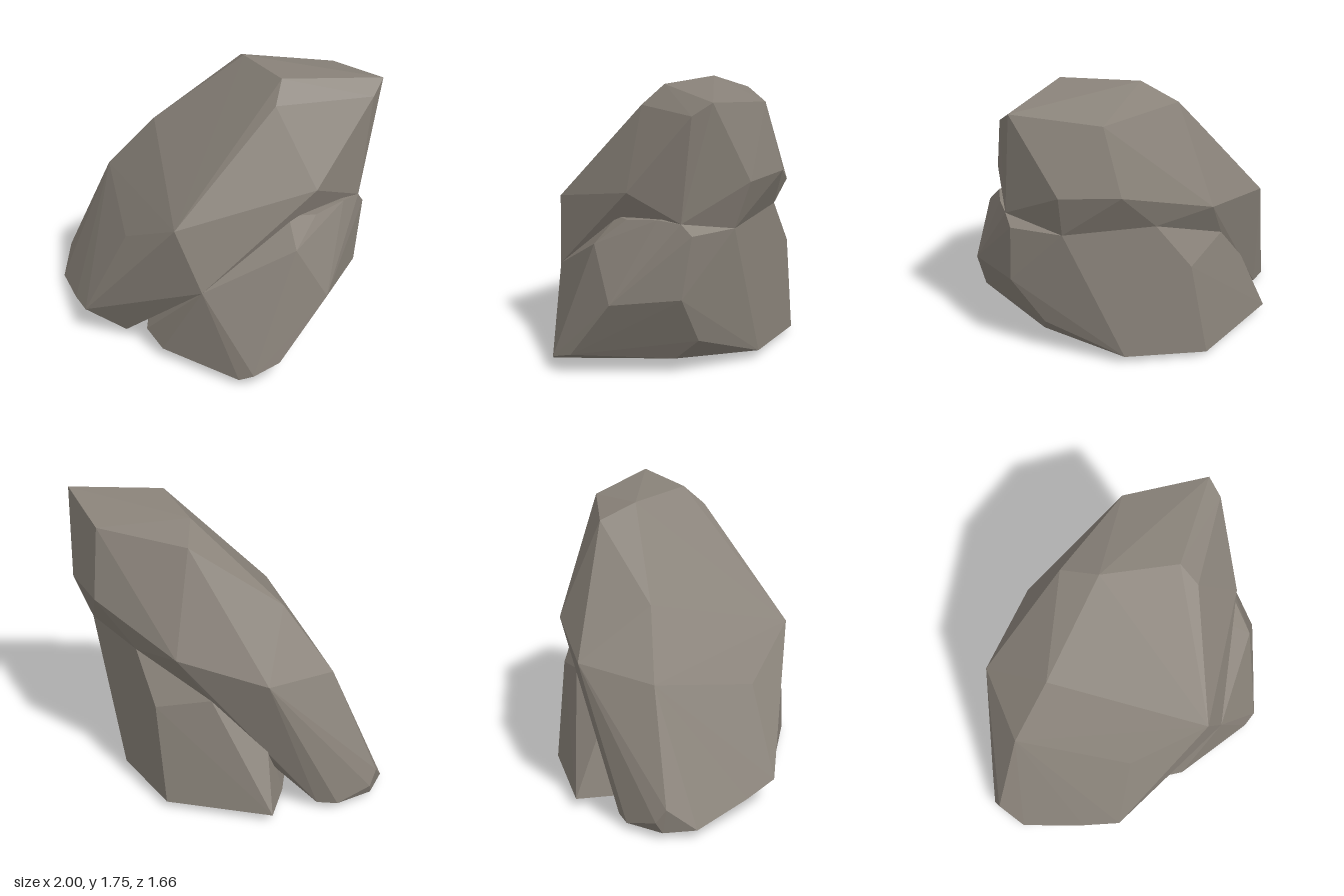
import * as THREE from 'three';
import { ConvexGeometry } from 'three/addons/geometries/ConvexGeometry.js';

// A faceted stone block: the convex hull of its corner points
function stone(name, corners, material) {
  const mesh = new THREE.Mesh(
    new ConvexGeometry(corners.map((c) => new THREE.Vector3(...c))),
    material
  );
  mesh.name = name;
  return mesh;
}

export function createModel() {
  const rock = new THREE.MeshStandardMaterial({ color: 0x8a837a, flatShading: true });
  rock.name = 'warm grey rock';

  // Tall slab leaning back and to the side
  const slab = [
    // crown
    [0.45, 1.75, -0.18], [0.8, 1.75, -0.67], [0.28, 1.67, -0.75],
    [-0.02, 1.73, -0.27], [-0.22, 1.64, -0.41], [0.53, 1.63, -0.07], [0.84, 1.67, -0.56],
    // back overhang
    [0.19, 1.25, -0.83], [0.55, 1.26, -0.79], [-0.4, 1.03, -0.61],
    [-0.04, 0.97, -0.68], [0.52, 0.96, -0.68], [0.83, 1.04, -0.49],
    // sloping front and outer edge
    [-0.48, 1.24, 0.1], [-0.8, 0.92, -0.22], [-0.76, 0.86, 0.28],
    [0.41, 0.96, 0.59], [-0.1, 0.7, 0.6],
    // ledge over the side notch
    [0.65, 1.18, 0.1], [0.84, 1.18, -0.14], [0.58, 0.69, 0.38], [0.56, 0.57, 0.5],
    // foot
    [-0.98, 0.2, 0.48], [-1, 0.11, 0.42], [-0.96, 0.04, 0.2], [-0.88, 0.04, 0.1],
    [-0.97, 0.04, 0.45], [-0.86, 0.05, 0.62], [-0.55, 0.08, 0.7], [-0.48, 0.12, 0.76],
    [-0.25, 0.17, 0.83], [-0.05, 0.05, 0.65], [-0.28, 0, 0.3],
    [-0.67, 0.5, -0.14], [-0.5, 0.75, -0.43],
  ];

  // Lower boulder wedged behind and beside the slab
  const boulder = [
    // upper rim
    [0.89, 0.86, 0.05], [0.73, 1.0, -0.02], [0.84, 1.02, -0.14], [0.85, 1.05, -0.35],
    [0.83, 1.04, -0.49], [0.81, 0.97, -0.55], [0.52, 0.96, -0.68], [-0.04, 0.97, -0.68],
    [-0.5, 0.75, -0.43], [-0.67, 0.5, -0.14], [-0.26, 0.67, -0.68],
    // flank
    [1, 0.54, -0.11], [0.82, 0.58, -0.49], [0.56, 0.57, 0.5], [0.62, 0.26, -0.5],
    // base
    [0.94, 0.15, 0.2], [0.89, 0.09, 0.36], [0.81, 0.04, 0.41], [0.28, 0.06, 0.6],
    [0.11, 0.12, 0.6], [-0.28, 0, 0.3], [-0.65, 0.04, 0], [-0.86, 0.05, -0.22],
    [-0.37, 0.04, -0.68], [0.15, 0.06, -0.68], [0.61, 0.11, -0.34],
  ];

  const group = new THREE.Group();
  group.name = 'rock';
  group.add(stone('leaningSlab', slab, rock), stone('lowerBoulder', boulder, rock));
  return group;
}
